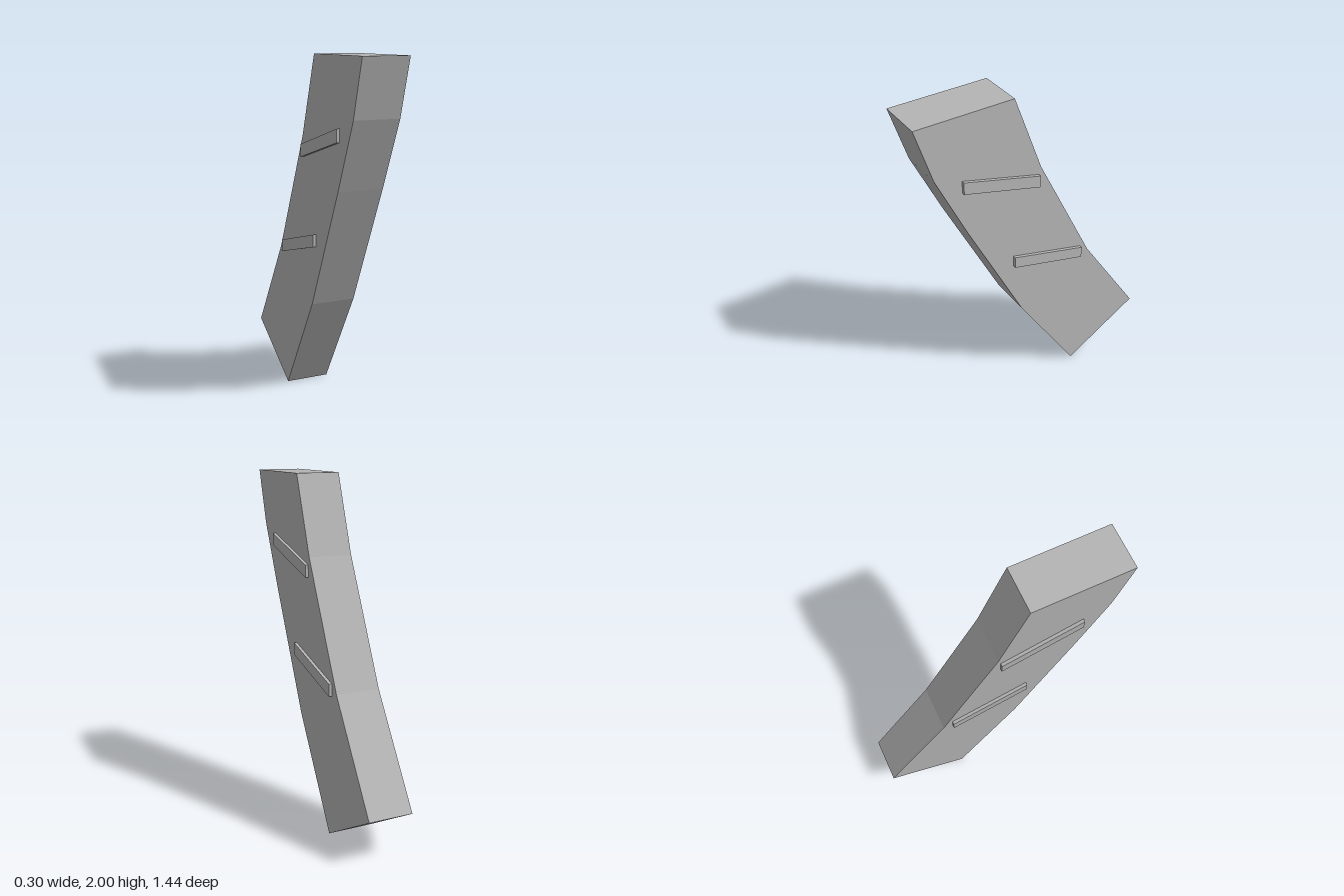
import * as THREE from 'three';

// Extrudes a side profile of [z, y] points across x, from x0 to x0 + width
function slab(points, x0, width) {
  const shape = new THREE.Shape(points.map(([z, y]) => new THREE.Vector2(z, y)));
  const geometry = new THREE.ExtrudeGeometry(shape, { depth: width, bevelEnabled: false });
  geometry.rotateY(-Math.PI / 2);
  geometry.translate(x0 + width, 0, 0);
  return geometry;
}

export function createModel() {
  const model = new THREE.Group();
  model.name = 'curvedGrip';
  const grey = new THREE.MeshStandardMaterial({ color: 0xb4b4b4 });
  grey.name = 'grey';

  const add = (name, geometry) => {
    const mesh = new THREE.Mesh(geometry, grey);
    mesh.name = name;
    model.add(mesh);
  };

  const halfWidth = 0.13;
  const ribDepth = 0.018;

  // Bent body: front edge downwards, then back edge upwards
  add('body', slab([
    [0.72, 2], [0.63, 1.69], [0.46, 1.31], [0.125, 0.61], [-0.25, 0],
    [-0.72, 0.265], [-0.34, 0.85], [0, 1.55], [0.16, 2],
  ], -halfWidth, halfWidth * 2));

  // Two slanted ribs on each side, given by their front top corner
  const ribs = { upper: [0.477, 1.637], lower: [0.18, 1.028] };
  for (const [level, [z, y]] of Object.entries(ribs)) {
    const outline = [[z, y], [z, y - 0.071], [z - 0.463, y - 0.201], [z - 0.463, y - 0.13]];
    add(level + 'RibLeft', slab(outline, halfWidth, ribDepth));
    add(level + 'RibRight', slab(outline, -halfWidth - ribDepth, ribDepth));
  }
  return model;
}
